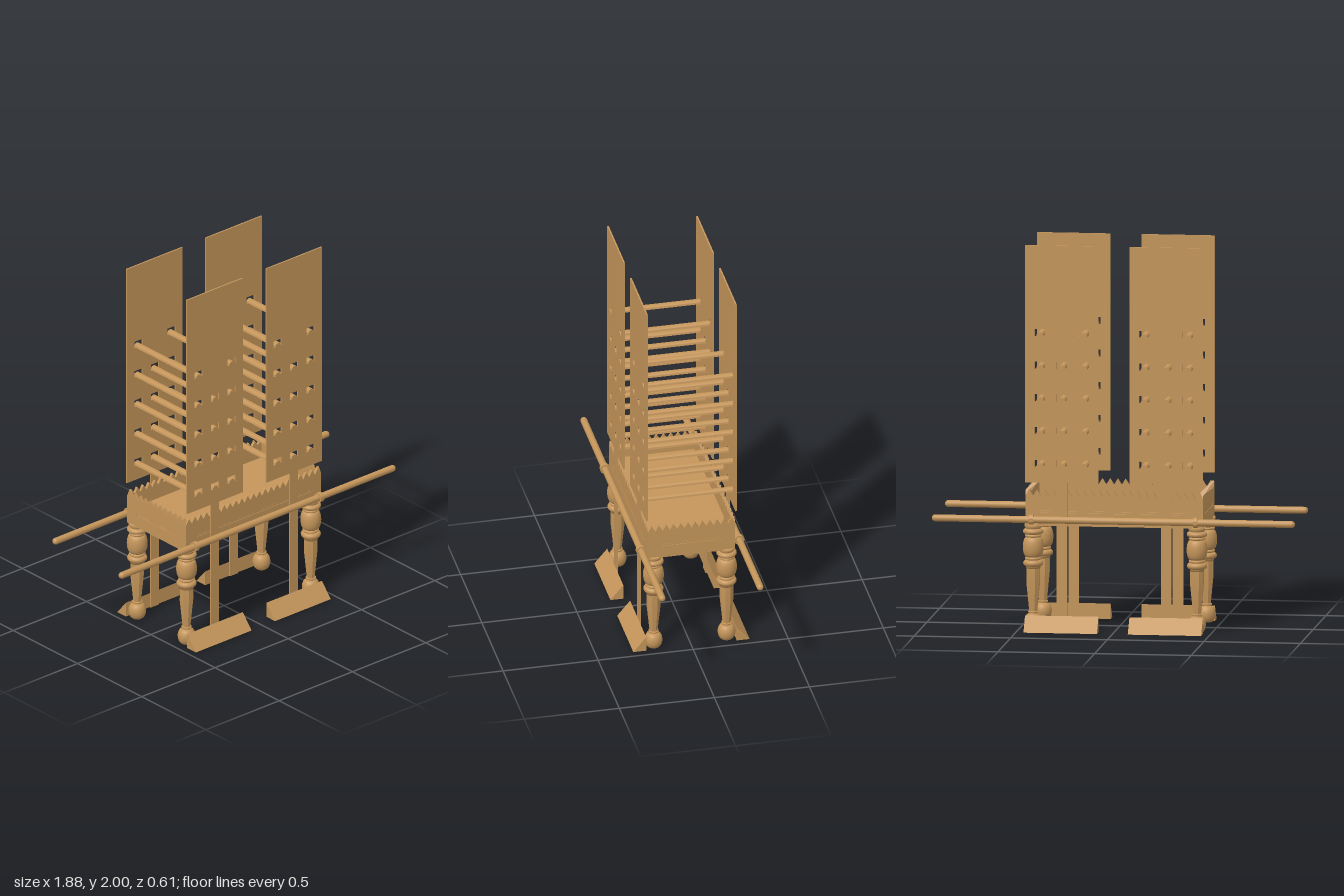
import * as THREE from 'three';
import { toCreasedNormals } from 'three/addons/utils/BufferGeometryUtils.js';

const WOOD = new THREE.MeshStandardMaterial({ color: 0xc4955a });
const SHEET = 0.008;              // board thickness of the tall panels
const HALF_X = 0.46, HALF_Z = 0.23, WALL = 0.015;
const ROWS = [0.852, 1.022, 1.192, 1.361, 1.53];
const COLS = [-0.113, 0, 0.113];
const PANEL_X = 0.27;

function add(parent, name, geometry, x = 0, y = 0, z = 0) {
  const mesh = new THREE.Mesh(geometry, WOOD);
  mesh.name = name;
  mesh.position.set(x, y, z);
  parent.add(mesh);
  return mesh;
}

function polygon(points) {
  return new THREE.Shape(points.map(([x, y]) => new THREE.Vector2(x, y)));
}

function rect(x0, y0, x1, y1) {
  return polygon([[x0, y0], [x1, y0], [x1, y1], [x0, y1]]);
}

// Extrusion centred on its own depth
function extrude(shape, depth, curveSegments = 12) {
  const g = new THREE.ExtrudeGeometry(shape, { depth, bevelEnabled: false, curveSegments });
  return g.translate(0, 0, -depth / 2);
}

const hasRod = (row, col) => !(row === ROWS.length - 1 && col === 1);

// Tall perforated board standing on a narrow post
function panelGeometry() {
  const w = 0.19, p = 0.0275;
  const shape = polygon([[-p, 0], [p, 0], [p, 0.77], [w, 0.77], [w, 2], [-w, 2], [-w, 0.77], [-p, 0.77]]);
  ROWS.forEach((y, r) => COLS.forEach((x, c) => {
    if (hasRod(r, c)) shape.holes.push(rect(x - 0.027, y, x + 0.027, y + 0.036));
  }));
  return extrude(shape, SHEET);
}

// Box side with a saw-tooth upper edge and a slot for the floor
function wallGeometry(length, teeth, slotHalf) {
  const h = length / 2, step = length / teeth;
  const points = [[-h, 0.545], [h, 0.545]];
  for (let i = 0; i < teeth; i++) {
    points.push([h - i * step, 0.7], [h - (i + 0.5) * step, 0.732]);
  }
  points.push([-h, 0.7]);
  const shape = polygon(points);
  shape.holes.push(rect(-slotHalf, 0.612, slotHalf, 0.624));
  return extrude(shape, WALL);
}

function lathe(points, segments) {
  return new THREE.LatheGeometry(points.map(([r, y]) => new THREE.Vector2(r, y)), segments);
}

// Points of a rounded bulge, listed from bottom to top
function bulge(y, radius, halfHeight, neck, steps = 10) {
  const pts = [];
  for (let i = 0; i <= steps; i++) {
    const a = -Math.PI / 2 + Math.PI * i / steps;
    pts.push([neck + (radius - neck) * Math.cos(a), y + halfHeight * Math.sin(a)]);
  }
  return pts;
}

function makeLeg() {
  const leg = new THREE.Group();
  leg.name = 'leg';
  add(leg, 'ballFoot', lathe([[0, 0], ...bulge(0.043, 0.046, 0.043, 0.02), [0.026, 0.09], [0.026, 0.098], [0, 0.1]], 24));
  const taper = lathe([[0.021, 0.095], [0.037, 0.25], [0.036, 0.325], [0, 0.327]], 8).rotateY(Math.PI / 8);
  add(leg, 'facetedTaper', toCreasedNormals(taper, 0.3));
  add(leg, 'turnedTop', lathe([
    [0, 0.318], [0.038, 0.32],
    ...bulge(0.347, 0.052, 0.016, 0.036),
    ...bulge(0.371, 0.043, 0.007, 0.036, 6),
    ...bulge(0.43, 0.054, 0.051, 0.035, 14),
    ...bulge(0.489, 0.043, 0.007, 0.036, 6),
    ...bulge(0.511, 0.053, 0.014, 0.038),
    [0.038, 0.527], [0.044, 0.535], [0.044, 0.55], [0, 0.55]], 24));
  return leg;
}

export function createModel() {
  const model = new THREE.Group();
  model.name = 'slattedStand';

  // Toothed box with an inset floor
  const box = new THREE.Group();
  box.name = 'toothedBox';
  model.add(box);
  const longWall = wallGeometry(2 * HALF_X, 23, 0.385);
  const shortWall = wallGeometry(2 * HALF_Z - 0.001, 12, 0.155).rotateY(Math.PI / 2);
  for (const s of [-1, 1]) {
    add(box, 'longWall', longWall, 0, 0, s * (HALF_Z - WALL / 2));
    add(box, 'shortWall', shortWall, s * (HALF_X - WALL / 2), 0, 0);
  }
  add(box, 'floor', new THREE.BoxGeometry(2 * (HALF_X - WALL), 0.01, 2 * (HALF_Z - WALL)), 0, 0.618, 0);
  add(box, 'floorLongTabs', new THREE.BoxGeometry(0.768, 0.0098, 2 * HALF_Z - 0.002), 0, 0.618, 0);
  add(box, 'floorShortTabs', new THREE.BoxGeometry(2 * HALF_X - 0.002, 0.0096, 0.308), 0, 0.618, 0);

  const panel = panelGeometry();
  const wedge = extrude(polygon([[0, 0], [0.068, 0], [0, 0.08]]), 0.38).rotateY(-Math.PI / 2);
  const pole = new THREE.CapsuleGeometry(0.018, 1.844, 8, 16).rotateZ(Math.PI / 2);

  // Ring holding a carrying pole
  const ringShape = new THREE.Shape().absarc(0, 0, 0.026, 0, Math.PI * 2, false);
  ringShape.holes.push(new THREE.Path().absarc(0, 0, 0.018, 0, Math.PI * 2, true));
  const ring = toCreasedNormals(extrude(ringShape, 0.022), 0.6).rotateY(Math.PI / 2);

  for (const sz of [-1, 1]) {
    add(model, 'carryingPole', pole, 0, 0.58, sz * 0.258);
    for (const sx of [-1, 1]) {
      add(model, 'panelWithPost', panel, sx * PANEL_X, 0, sz * (HALF_Z + SHEET / 2));
      const foot = add(model, 'wedgeFoot', wedge, sx * PANEL_X, 0, sz * (HALF_Z + SHEET));
      if (sz < 0) foot.rotation.y = Math.PI;
      add(model, 'poleRing', ring, sx * 0.425, 0.58, sz * 0.258);
      const leg = makeLeg();
      leg.position.set(sx * 0.424, 0, sz * 0.192);
      model.add(leg);
    }
  }

  // Half-round rods joining the front and back panels
  const half = new THREE.Shape().absarc(0, 0, 0.019, 0, Math.PI, false);
  const rod = toCreasedNormals(extrude(half, 0.484, 10), 0.6);
  for (const sx of [-1, 1]) {
    ROWS.forEach((y, r) => COLS.forEach((x, c) => {
      if (hasRod(r, c)) add(model, 'rod', rod, sx * PANEL_X + x, y + 0.0005, 0);
    }));
  }
  return model;
}
